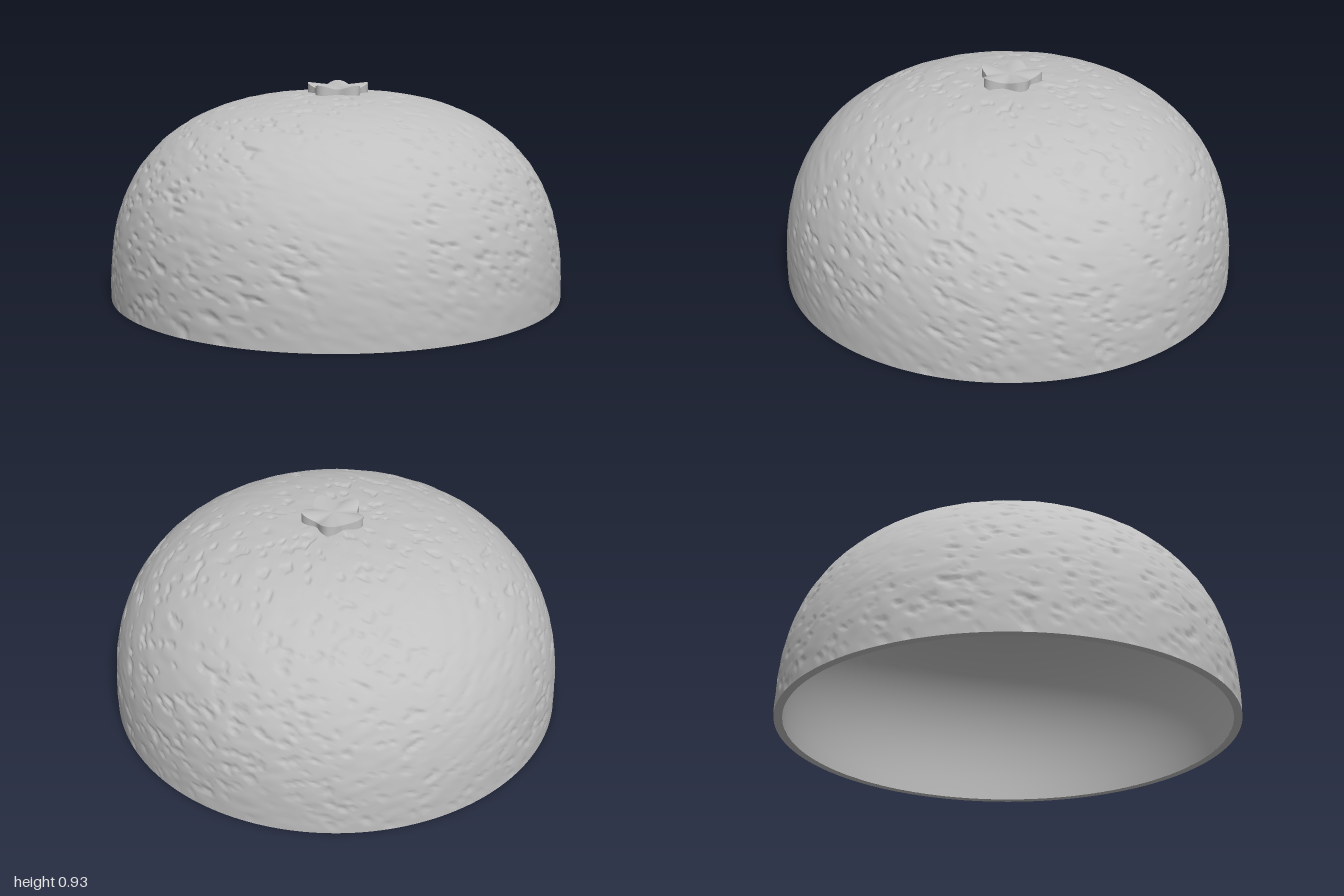
import * as THREE from 'three';
import { mergeVertices, toCreasedNormals } from 'three/addons/utils/BufferGeometryUtils.js';

// Seeded lattice hash and smooth 3D noise in 0..1
function hash(x, y, z) {
  let h = Math.imul(x, 374761393) ^ Math.imul(y, 668265263) ^ Math.imul(z, 1274126177);
  h = Math.imul(h ^ (h >>> 13), 1274126177);
  return ((h ^ (h >>> 16)) >>> 0) / 4294967295;
}
function noise(x, y, z) {
  const xi = Math.floor(x), yi = Math.floor(y), zi = Math.floor(z);
  const s = (t) => t * t * (3 - 2 * t);
  const u = s(x - xi), v = s(y - yi), w = s(z - zi);
  const mix = THREE.MathUtils.lerp;
  const row = (j, k) => mix(hash(xi, yi + j, zi + k), hash(xi + 1, yi + j, zi + k), u);
  return mix(mix(row(0, 0), row(1, 0), v), mix(row(0, 1), row(1, 1), v), w);
}

// Full-shouldered dome profile from rim to crown
function domeProfile(radius, height, steps, power = 2.58) {
  return Array.from({ length: steps + 1 }, (_, i) => {
    const a = (i / steps) * Math.PI / 2;
    const r = i === steps ? 0 : radius * Math.cos(a) ** (2 / power);
    return new THREE.Vector2(r, height * Math.sin(a) ** (2 / power));
  });
}

// Revolve a profile and weld its seam so the normals run smoothly
function revolve(points, segments) {
  const g = new THREE.LatheGeometry(points, segments);
  g.deleteAttribute('uv');
  g.deleteAttribute('normal');
  const welded = mergeVertices(g, 1e-5);
  welded.computeVertexNormals();
  return welded;
}

// Outer skin: fine ripples and patches of small pits on a tilted grain
function skinGeometry() {
  const g = revolve(domeProfile(0.999, 0.886, 160), 400);
  const pos = g.attributes.position;
  const p = new THREE.Vector3(), q = new THREE.Vector3();
  const grain = new THREE.Euler(0.25, 0.6, 0.2);
  for (let i = 0; i < pos.count; i++) {
    p.fromBufferAttribute(pos, i);
    q.copy(p).applyEuler(grain);
    const ripple = noise(q.x * 16 + 50, q.y * 40 + 50, q.z * 16 + 50) - 0.5;
    const pore = noise(q.x * 28 + 90, q.y * 54 + 90, q.z * 28 + 90);
    const patch = noise(q.x * 3 + 20, q.y * 3 + 20, q.z * 3 + 20);
    const pit = THREE.MathUtils.smoothstep(pore, 0.68, 0.82) * THREE.MathUtils.smoothstep(patch, 0.2, 0.5);
    const fade = THREE.MathUtils.smoothstep(p.y, 0, 0.03);
    p.multiplyScalar(1 + fade * (ripple * 0.004 - pit * 0.008));
    pos.setXYZ(i, p.x, p.y, p.z);
  }
  g.computeVertexNormals();
  return g;
}

// Five-lobed stem cap with a nearly flat, gently wavy top
function stemGeometry() {
  const g = new THREE.CylinderGeometry(1, 1, 1, 80, 1);
  const pos = g.attributes.position;
  for (let i = 0; i < pos.count; i++) {
    const x = pos.getX(i), z = pos.getZ(i);
    const rim = Math.hypot(x, z) > 0.5 ? 1 : 0;
    const lobe = Math.cos(5 * (Math.atan2(-z, x) - 0.05));
    const r = 0.12 + 0.018 * lobe;
    const top = 0.918 + rim * 0.009 * lobe;
    pos.setXYZ(i, 0.01 + x * r, pos.getY(i) > 0 ? top : 0.872, -0.007 + z * r);
  }
  return toCreasedNormals(g, Math.PI / 5);
}

export function createModel() {
  const group = new THREE.Group();
  const peelGrey = new THREE.MeshStandardMaterial({ color: 0xc0c0c0 });
  const add = (name, geometry) => {
    const mesh = new THREE.Mesh(geometry, peelGrey);
    mesh.name = name;
    group.add(mesh);
  };

  add('outerPeel', skinGeometry());
  // Smooth hollow inside, running crown to rim so it faces inward
  add('innerPeel', revolve(domeProfile(0.963, 0.85, 40).reverse(), 128));
  // Flat cut edge facing down
  add('cutRim', revolve([new THREE.Vector2(0.963, 0), new THREE.Vector2(0.999, 0)], 400));
  add('stemCap', stemGeometry());
  return group;
}
